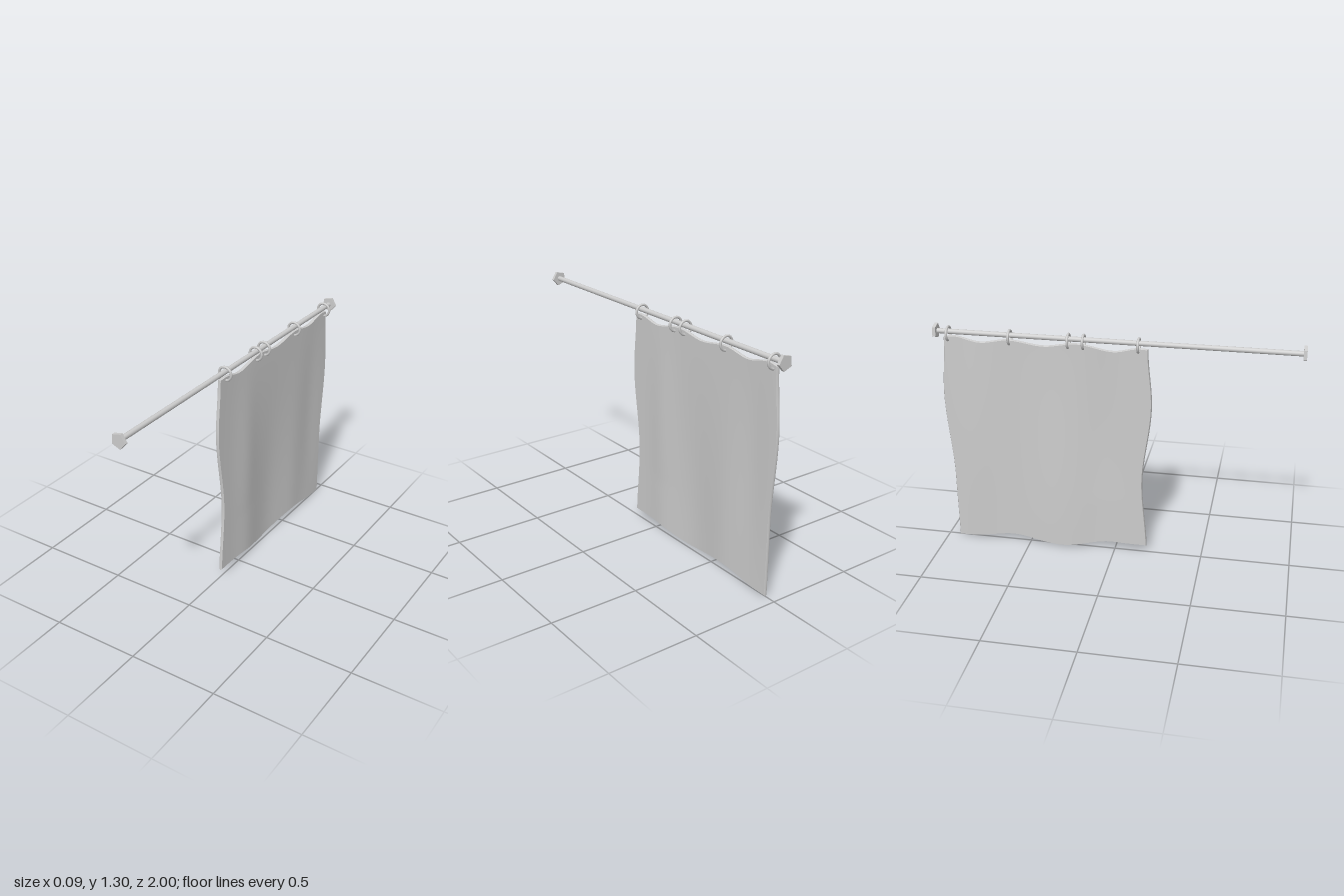
import * as THREE from 'three';

const ROD_Y = 1.27;

// Smooth wave through a short list of [position, value] crests and dips
function wave(points, p) {
  if (p <= points[0][0]) return points[0][1];
  for (let i = 1; i < points.length; i++) {
    const [a, va] = points[i - 1], [b, vb] = points[i];
    if (p <= b) return THREE.MathUtils.lerp(va, vb, THREE.MathUtils.smoothstep(p, a, b));
  }
  return points[points.length - 1][1];
}

// Outline of the cloth: side edges by height, hems by z
const FRONT_EDGE = [[0, 0.188], [0.45, 0.157], [0.92, 0.204], [1.245, 0.18]];
const BACK_EDGE = [[0, -0.935], [0.4, -0.937], [0.9, -0.97], [1.245, -0.948]];
const TOP_HEM = [[-0.96, 1.24], [-0.88, 1.252], [-0.73, 1.225], [-0.57, 1.248],
  [-0.38, 1.226], [-0.2, 1.25], [0, 1.22], [0.14, 1.245], [0.187, 1.243]];
const BOTTOM_HEM = [[-0.935, 0.004], [-0.86, 0.006], [-0.6, 0.038], [-0.3, 0.008],
  [0, 0.046], [0.187, 0.046]];

// Sideways billow of the cloth, stronger towards the bottom
const bump = (z, centre, width) => Math.exp(-(((z - centre) / width) ** 2));
function billow(y, z) {
  const low = 1 - THREE.MathUtils.smoothstep(y, 0.1, 1.25);
  const mid = Math.sin(Math.PI * Math.min(1, Math.max(0, y / 1.25)));
  return -0.004 - 0.021 * low * bump(z, -0.34, 0.16)
    + 0.012 * Math.max(mid, low * 0.8) * bump(z, -0.07, 0.1)
    - 0.009 * mid * bump(z, -0.8, 0.1) + 0.004 * low * bump(z, -0.6, 0.08);
}

function clothGeometry() {
  const geometry = new THREE.BoxGeometry(1, 1, 1, 2, 36, 48);
  const pos = geometry.attributes.position;
  for (let i = 0; i < pos.count; i++) {
    const across = pos.getX(i), v = pos.getY(i) + 0.5, s = pos.getZ(i) + 0.5;
    const hemZ = THREE.MathUtils.lerp(-0.935, 0.187, s);
    let y = THREE.MathUtils.lerp(wave(BOTTOM_HEM, hemZ), wave(TOP_HEM, hemZ), v);
    let z = THREE.MathUtils.lerp(wave(BACK_EDGE, y), wave(FRONT_EDGE, y), s);
    // Soften the rim of the thick cloth
    const inset = 0.005 * Math.abs(across) * 2;
    if (v < 0.001) y += inset;
    if (v > 0.999) y -= inset;
    if (s < 0.001) z += inset;
    if (s > 0.999) z -= inset;
    pos.setXYZ(i, across * 0.018 + billow(y, z), y, z);
  }
  geometry.computeVertexNormals();
  return geometry;
}

export function createModel() {
  const model = new THREE.Group();
  model.name = 'curtainOnRod';
  const grey = new THREE.MeshStandardMaterial({ color: 0xcccccc });
  const faceted = new THREE.MeshStandardMaterial({ color: 0xcccccc, flatShading: true });
  const add = (name, geometry, material, y = 0, z = 0) => {
    const mesh = new THREE.Mesh(geometry, material);
    mesh.name = name;
    mesh.position.set(0, y, z);
    model.add(mesh);
    return mesh;
  };

  // Rod running front to back
  add('rod', new THREE.CylinderGeometry(0.014, 0.014, 1.97, 16).rotateX(Math.PI / 2), grey, ROD_Y);

  // Five-sided end caps
  const pentagon = new THREE.Shape(Array.from({ length: 5 }, (_, i) => {
    const a = THREE.MathUtils.degToRad(67 + 72 * i);
    return new THREE.Vector2(0.042 * Math.cos(a), 0.042 * Math.sin(a));
  }));
  const cap = new THREE.ExtrudeGeometry(pentagon, { depth: 0.018, bevelEnabled: false })
    .translate(0, 0, -0.009);
  add('frontCap', cap, faceted, ROD_Y, 0.991);
  add('backCap', cap, faceted, ROD_Y, -0.991);

  // Hanging rings
  const ring = new THREE.TorusGeometry(0.037, 0.007, 10, 32);
  [0.127, -0.17, -0.253, -0.577, -0.922].forEach((z, i) => add(`ring${i + 1}`, ring, grey, 1.258, z));

  // Hanging cloth
  add('cloth', clothGeometry(), grey);
  return model;
}
